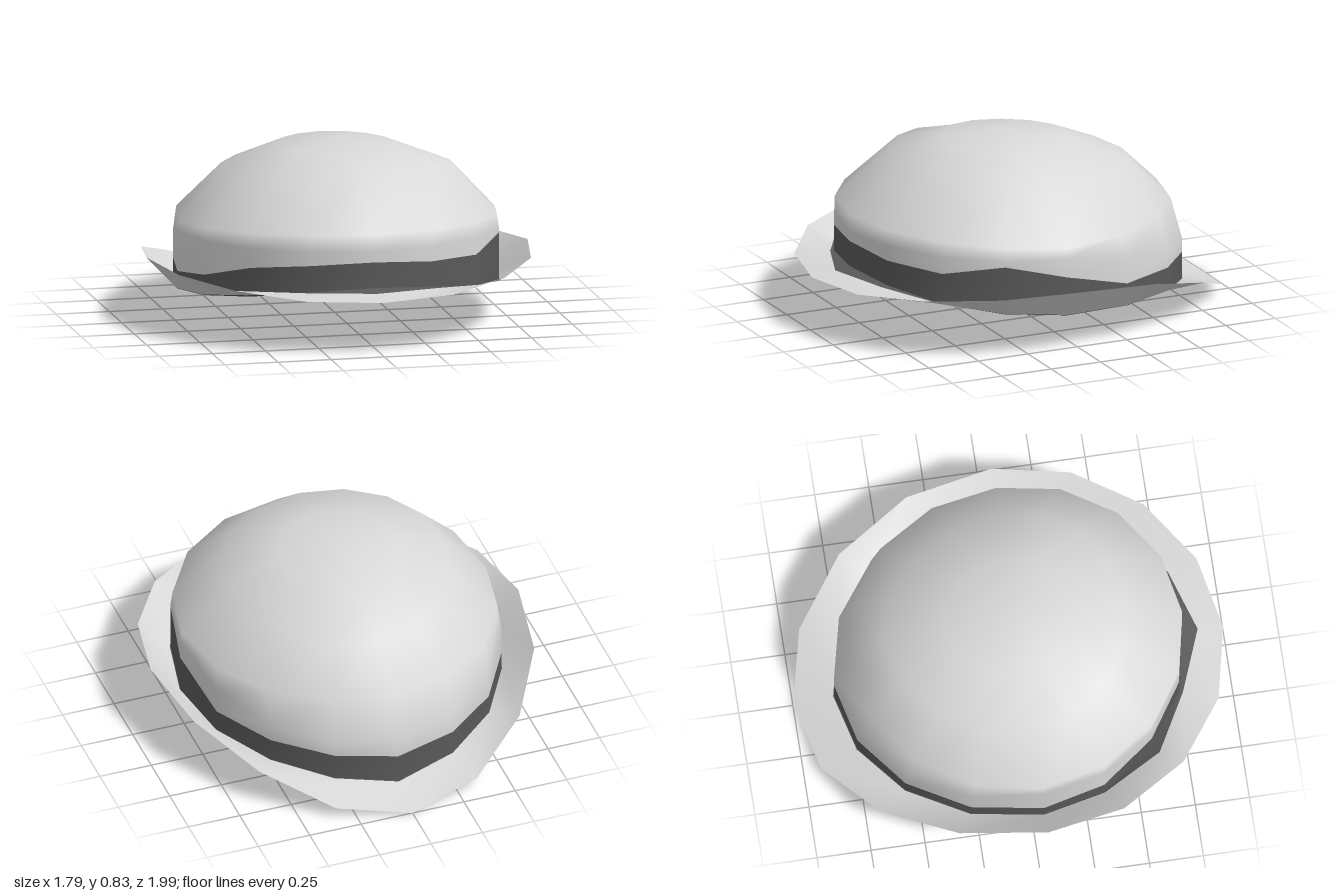
import * as THREE from 'three';

const SIDES = 16;
const CENTRE_Z = 0.05;

// Heights are listed from front (0) to back (8) and mirrored.
const mirror = h => Array.from({ length: SIDES }, (_, k) => h[k <= 8 ? k : SIDES - k]);

// Heights that blend from front to side to back.
const blend = (front, side, back) => mirror(Array.from({ length: 9 }, (_, k) => {
  const c = Math.cos(k * Math.PI / 8);
  return side + ((c > 0 ? front : back) - side) * Math.abs(c);
}));

// Egg-shaped ring with its own half width, front reach and back reach.
function ring(halfWidth, front, back, heights) {
  return heights.map((y, k) => {
    const a = k * 2 * Math.PI / SIDES, c = Math.cos(a);
    return new THREE.Vector3(halfWidth * Math.sin(a), y, CENTRE_Z + (c > 0 ? front : back) * c);
  });
}

// Skin over rings; slots[i] is the material index of the strip above ring i.
function loft(rings, slots, apex) {
  const points = rings.flat(), index = [];
  const geometry = new THREE.BufferGeometry();
  for (let r = 0; r < rings.length - 1; r++) {
    const start = index.length;
    for (let k = 0; k < SIDES; k++) {
      const n = (k + 1) % SIDES;
      const a = r * SIDES + k, b = r * SIDES + n;
      index.push(a, b, b + SIDES, a, b + SIDES, a + SIDES);
    }
    geometry.addGroup(start, index.length - start, slots[r]);
  }
  if (apex) {
    const start = index.length, base = (rings.length - 1) * SIDES;
    for (let k = 0; k < SIDES; k++) index.push(base + k, base + (k + 1) % SIDES, points.length);
    points.push(apex);
    geometry.addGroup(start, index.length - start, slots[rings.length - 1]);
  }
  geometry.setFromPoints(points);
  geometry.setIndex(index);
  geometry.computeVertexNormals();
  return geometry;
}

export function createModel() {
  const felt = new THREE.MeshStandardMaterial({ color: 0xd8d8d8, side: THREE.DoubleSide });
  felt.name = 'pale felt';
  const ribbon = new THREE.MeshStandardMaterial({ color: 0x595959, side: THREE.DoubleSide });
  ribbon.name = 'dark ribbon';
  const materials = [felt, ribbon];

  const base = ring(0.75, 0.75, 0.86,
    mirror([0.28, 0.262, 0.22, 0.185, 0.158, 0.145, 0.13, 0.095, 0.05]));

  // Uneven top edge of the ribbon, all the way round from the front
  const ribbonTop = ring(0.75, 0.75, 0.86, [
    0.40, 0.38, 0.365, 0.41, 0.34, 0.25, 0.24, 0.22, 0.19,
    0.21, 0.22, 0.23, 0.24, 0.28, 0.355, 0.385]);

  // Crown with its ribbon strip
  const crown = new THREE.Mesh(loft([
    base,
    ribbonTop,
    ring(0.75, 0.75, 0.86, blend(0.45, 0.43, 0.28)),
    ring(0.74, 0.75, 0.80, blend(0.53, 0.475, 0.49)),
    ring(0.53, 0.47, 0.62, blend(0.76, 0.70, 0.665)),
    ring(0.27, 0.25, 0.35, blend(0.798, 0.80, 0.785)),
  ], [1, 0, 0, 0, 0, 0], new THREE.Vector3(0, 0.835, CENTRE_Z)), materials);
  crown.name = 'crown';

  // Upturned brim, with the ribbon spilling a little onto its front
  const outer = ring(0.895, 0.94, 1.05,
    mirror([0.25, 0.257, 0.28, 0.30, 0.31, 0.275, 0.18, 0.057, 0]));
  const spill = [0.38, 0.2, 0.12, 0.03, 0.02, 0.02, 0.02, 0.02, 0.02,
    0.02, 0.02, 0.02, 0.02, 0.03, 0.25, 0.1];
  const spillEdge = base.map((p, k) => p.clone().lerp(outer[k], spill[k]));
  const brim = new THREE.Mesh(loft([outer, spillEdge, base], [0, 1]), materials);
  brim.name = 'brim';

  const hat = new THREE.Group();
  hat.name = 'hat';
  hat.add(crown, brim);
  return hat;
}
